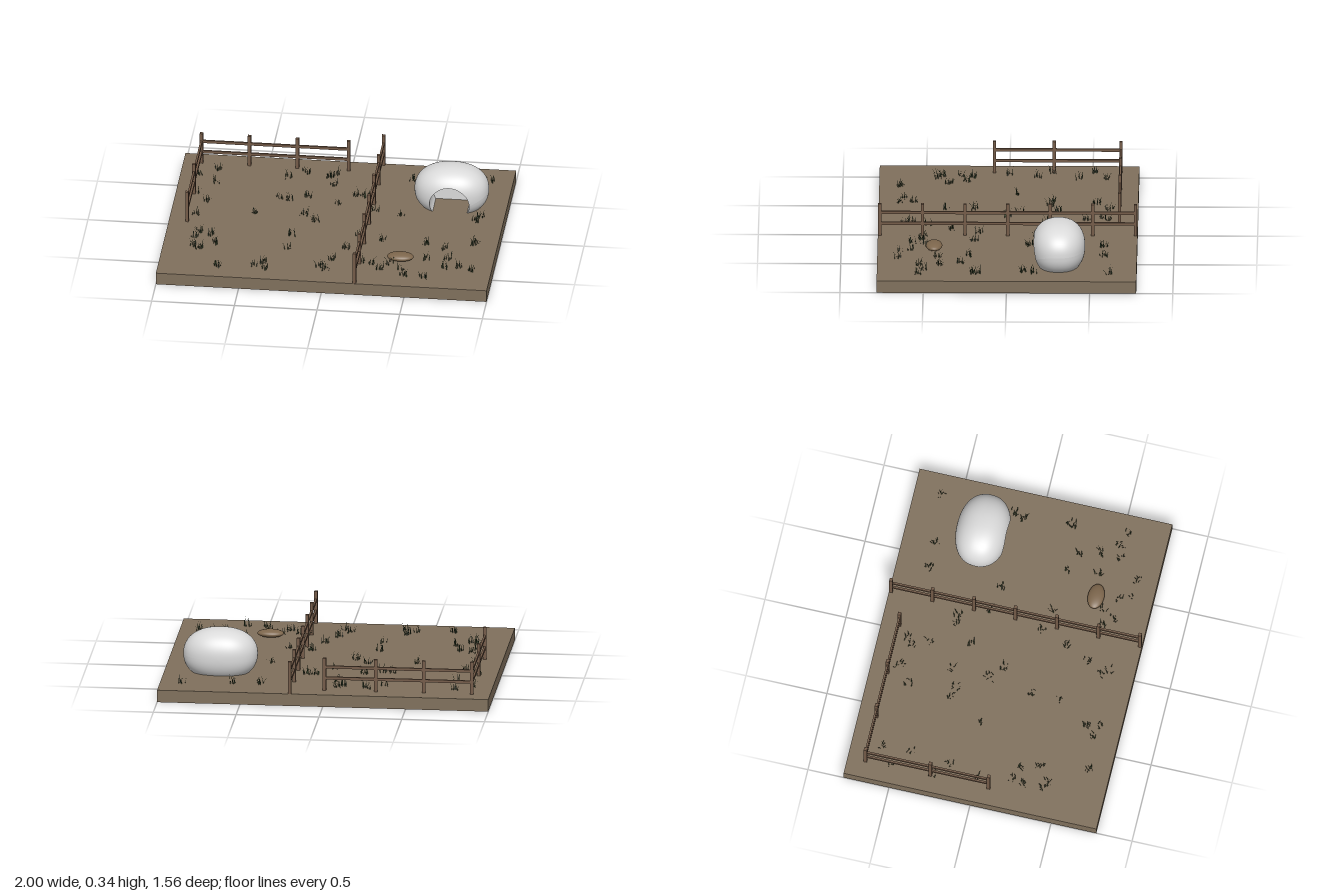
import * as THREE from 'three';
import { mergeGeometries } from 'three/addons/utils/BufferGeometryUtils.js';

const mat = (name, color, side = THREE.FrontSide) => {
  const m = new THREE.MeshStandardMaterial({ color, side });
  m.name = name;
  return m;
};
const GROUND = 0.075;

export function createModel() {
  const soil = mat('soil', 0x80705c);
  const wood = mat('wood', 0x745b48);
  const stone = mat('brownStone', 0x7d664c);
  const plaster = mat('whitePlaster', 0xdadada, THREE.DoubleSide);
  const leaf = mat('grassGreen', 0x35452a, THREE.DoubleSide);

  const model = new THREE.Group();
  const add = (name, geo, material, parent = model) => {
    const m = new THREE.Mesh(geo, material);
    m.name = name;
    parent.add(m);
    return m;
  };

  // Ground slab
  add('ground', new THREE.BoxGeometry(2, GROUND, 1.56).translate(0, GROUND / 2, 0), soil);

  // Fences: square posts joined by two rails
  function fence(name, points) {
    const g = new THREE.Group();
    g.name = name;
    for (const [x, z] of points) {
      add('post', new THREE.BoxGeometry(0.02, 0.2, 0.02), wood, g).position.set(x, GROUND + 0.1, z);
    }
    const [x0, z0] = points[0], [x1, z1] = points[points.length - 1];
    for (const y of [0.15, 0.219]) {
      const geo = new THREE.BoxGeometry(Math.abs(x1 - x0) + 0.012, 0.017, Math.abs(z1 - z0) + 0.012);
      add('rail', geo, wood, g).position.set((x0 + x1) / 2, y, (z0 + z1) / 2);
    }
    model.add(g);
  }
  fence('middleFence', [-0.768, -0.512, -0.256, 0, 0.256, 0.512, 0.768].map((z) => [0.2, z]));
  fence('backFence', [-0.89, -0.6, -0.31, 0].map((x) => [x, -0.67]));
  fence('sideFence', [-0.67, -0.27, 0.09].map((z) => [-0.89, z]));

  // Domed shelter: slightly squared ellipsoid with an arched doorway
  const C = new THREE.Vector3(0.665, 0.182, -0.31), R = new THREE.Vector3(0.224, 0.158, 0.16);
  const P = 2.25;
  const depth = (x, y) =>
    R.z * Math.pow(Math.max(0, 1 - Math.pow(Math.abs(x / R.x), P) - Math.pow(Math.abs(y / R.y), P)), 1 / P);
  const rim = (a, s = 1) => [s * R.x * Math.sign(Math.cos(a)) * Math.pow(Math.abs(Math.cos(a)), 2 / P),
    s * R.y * Math.sign(Math.sin(a)) * Math.pow(Math.abs(Math.sin(a)), 2 / P)];
  const door = (a) => [0.12 * Math.cos(a), Math.max(-0.125, -0.047 + 0.12 * Math.sin(a))];

  // Surface from a function of angle (around z) and row parameter v
  function surface(rows, fn) {
    const N = 64, pos = [], idx = [];
    for (let r = 0; r <= rows; r++) {
      for (let i = 0; i <= N; i++) {
        pos.push(...fn((i % N) / N * Math.PI * 2, r / rows));
      }
    }
    for (let r = 0; r < rows; r++) {
      for (let i = 0; i < N; i++) {
        const a = r * (N + 1) + i, b = a + N + 1;
        idx.push(a, b, a + 1, a + 1, b, b + 1);
      }
    }
    const g = new THREE.BufferGeometry();
    g.setAttribute('position', new THREE.Float32BufferAttribute(pos, 3));
    g.setIndex(idx);
    g.computeVertexNormals();
    return g.translate(C.x, C.y, C.z);
  }
  const shelter = new THREE.Group();
  shelter.name = 'shelter';
  model.add(shelter);
  add('shelterShell', surface(40, (a, v) => {
    if (v <= 0.5) {
      const s = Math.sin(v * Math.PI), d = door(a), e = rim(a);
      const x = d[0] + (e[0] - d[0]) * s, y = d[1] + (e[1] - d[1]) * s;
      return [x, y, s > 0.9999 ? 0 : depth(x, y)];
    }
    const [x, y] = rim(a, Math.sin(v * Math.PI));
    return [x, y, v < 0.501 ? 0 : -depth(x, y)];
  }), plaster);
  const BACK = -0.06;
  add('doorwayLining', surface(6, (a, v) => {
    const [x, y] = door(a), z = depth(x, y);
    return [x, y, BACK + (z - BACK) * v];
  }), plaster, shelter);
  const wallShape = new THREE.Shape();
  for (let i = 0; i < 48; i++) {
    const [x, y] = door(i / 48 * Math.PI * 2);
    i ? wallShape.lineTo(x, y) : wallShape.moveTo(x, y);
  }
  add('shelterBackWall', new THREE.ShapeGeometry(wallShape).translate(C.x, C.y, C.z + BACK), plaster, shelter);

  // Flat stone
  const rock = add('flatStone', new THREE.SphereGeometry(1, 32, 20), stone);
  rock.scale.set(0.08, 0.024, 0.05);
  rock.position.set(0.44, 0.098, 0.44);

  // Grass tufts: x, z pairs
  const tufts = [-0.78, -0.59, -0.88, -0.52, -0.77, -0.42, -0.88, -0.26, -0.8, -0.17, -0.35, -0.53,
    -0.25, -0.61, -0.1, -0.57, -0.07, -0.6, -0.37, -0.26, -0.31, -0.25, -0.2, -0.3, -0.07, -0.47,
    0.09, -0.34, 0.14, -0.34, -0.02, -0.22, 0.4, -0.58, 0.57, -0.58, 0.87, -0.62, 0.22, -0.17,
    0.38, -0.13, 0.83, -0.1, 0.86, -0.16, 0.16, 0.17, 0.3, 0.2, 0.57, 0.23, 0.68, 0.28, 0.86, 0.2,
    0.6, 0.42, 0.72, 0.4, 0.72, 0.53, 0.45, 0.58, 0.48, 0.64, 0.6, 0.66, 0.88, 0.53, 0.8, 0.5,
    0.28, 0.51, 0.33, 0.57, -0.03, 0.58, 0.03, 0.48, 0.01, 0.62, -0.37, 0.57, -0.35, 0.65,
    -0.42, 0.62, -0.25, 0.37, -0.24, 0.2, -0.8, 0.22, -0.72, 0.25, -0.82, 0.29, -0.78, 0.43,
    -0.82, 0.4, -0.64, 0.65, -0.68, 0.36, 0.22, 0.5, 0.1, 0.33, -0.85, 0, -0.12, 0, -0.5, -0.05,
    -0.2, -0.07, 0.38, 0.5, 0.86, 0.18];
  let seed = 7;
  const rand = () => (seed = (seed * 16807) % 2147483647) / 2147483647;

  // One bent blade: a tapering strip that leans along +x
  function blade(h, lean, w) {
    const g = new THREE.BufferGeometry();
    g.setAttribute('position', new THREE.Float32BufferAttribute([
      0, 0, -w, 0, 0, w, lean * 0.35, h * 0.6, -w * 0.7, lean * 0.35, h * 0.6, w * 0.7, lean, h, 0], 3));
    g.setIndex([0, 1, 2, 2, 1, 3, 2, 3, 4]);
    g.computeVertexNormals();
    return g;
  }
  const blades = [];
  for (let i = 0; i < tufts.length; i += 2) {
    const count = 7 + Math.floor(rand() * 6);
    for (let k = 0; k < count; k++) {
      const g = blade(0.022 + rand() * 0.034, 0.006 + rand() * 0.018, 0.0025);
      g.rotateY(rand() * Math.PI * 2);
      g.translate(tufts[i] + (rand() - 0.5) * 0.045, GROUND, tufts[i + 1] + (rand() - 0.5) * 0.045);
      blades.push(g);
    }
  }
  add('grass', mergeGeometries(blades), leaf);

  return model;
}
